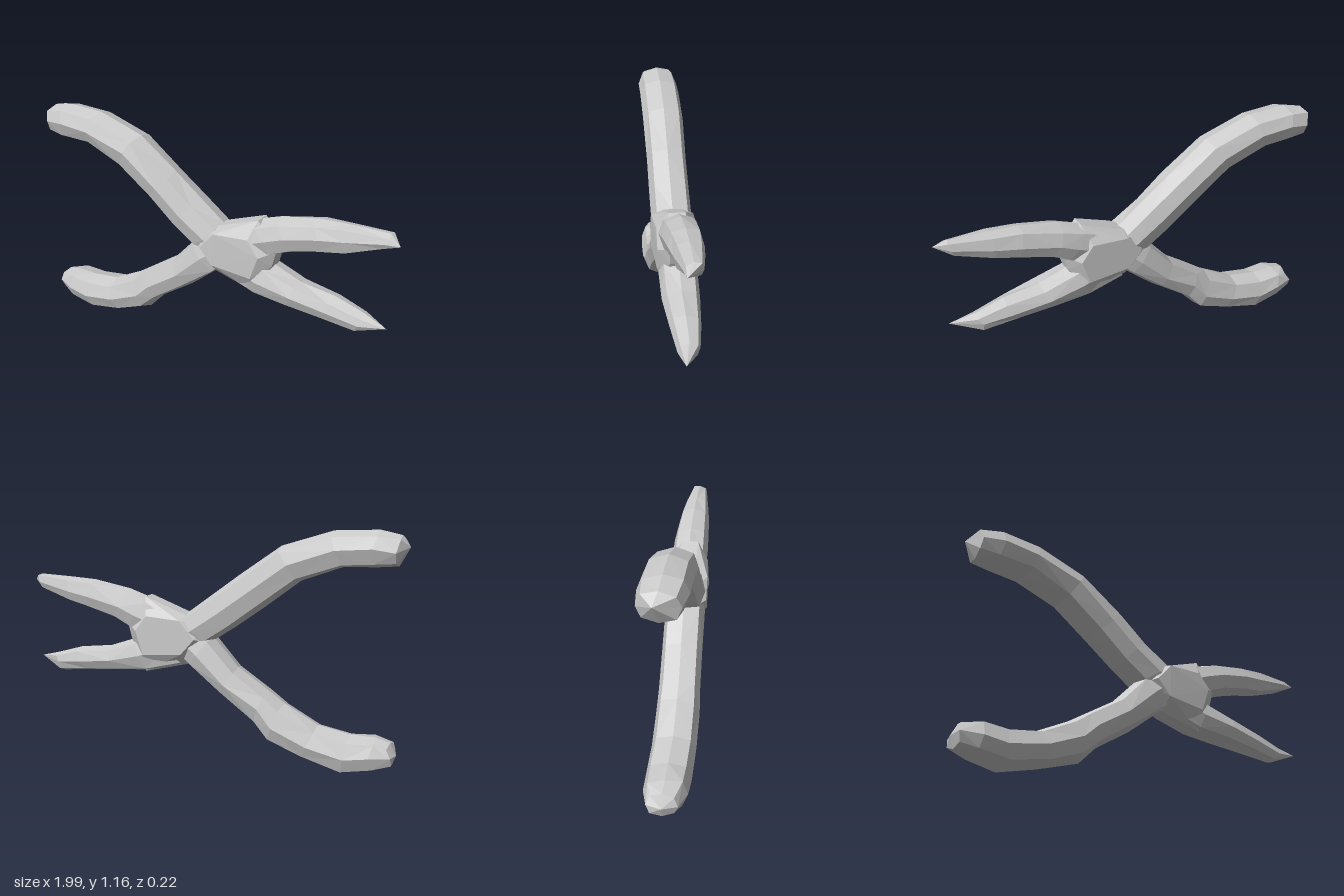
import * as THREE from 'three';
import { ConvexGeometry } from 'three/addons/geometries/ConvexGeometry.js';

const SIDES = 8;
const material = new THREE.MeshStandardMaterial({ color: 0xcccccc, flatShading: true });

// Small seeded generator for the hand-cut, uneven facets
let seed = 7;
const jitter = (amount) => {
  seed = (seed * 16807) % 2147483647;
  return (seed / 2147483647 - 0.5) * 2 * amount;
};

// Loft from left to right. Each section: [topX, topY, bottomX, bottomY, halfDepth, centreZ]
function loft(name, sections, startTip, endTip) {
  const positions = [];
  const index = [];
  for (const [tx, ty, bx, by, depth, cz] of sections) {
    for (let j = 0; j < SIDES; j++) {
      const a = (j / SIDES) * Math.PI * 2;
      const square = (v) => Math.sign(v) * Math.pow(Math.abs(v), 0.78);
      const u = square(Math.cos(a));
      const w = square(Math.sin(a));
      const wobble = j % 4 === 0 ? 0 : 0.012;
      positions.push(
        (tx + bx) / 2 + ((tx - bx) / 2) * u + jitter(wobble),
        (ty + by) / 2 + ((ty - by) / 2) * u + jitter(wobble * 0.6),
        cz + depth * w
      );
    }
  }
  const rings = sections.length;
  for (let k = 0; k < rings - 1; k++) {
    for (let j = 0; j < SIDES; j++) {
      const a = k * SIDES + j;
      const b = k * SIDES + ((j + 1) % SIDES);
      const c = a + SIDES;
      const d = b + SIDES;
      // alternate the diagonals for irregular facets
      if ((j + k) % 2) index.push(a, b, c, b, d, c);
      else index.push(a, b, d, a, d, c);
    }
  }
  // Caps
  const start = rings * SIDES;
  positions.push(...startTip, ...endTip);
  const last = (rings - 1) * SIDES;
  for (let j = 0; j < SIDES; j++) {
    const n = (j + 1) % SIDES;
    index.push(start, n, j, start + 1, last + j, last + n);
  }
  const geometry = new THREE.BufferGeometry();
  geometry.setAttribute('position', new THREE.Float32BufferAttribute(positions, 3));
  geometry.setIndex(index);
  const flat = geometry.toNonIndexed();
  flat.computeVertexNormals();
  const mesh = new THREE.Mesh(flat, material);
  mesh.name = name;
  return mesh;
}

// Pivot block: full outline at mid depth, inset faces front and back
function pivotBlock() {
  const outline = [[0.08, 0.71], [0.3, 0.79], [0.4, 0.65], [0.38, 0.57], [0.3, 0.4], [0.07, 0.46], [-0.05, 0.58], [0, 0.67]];
  const face = [[0.09, 0.69], [0.27, 0.7], [0.33, 0.62], [0.29, 0.5], [0.08, 0.52], [0.01, 0.6]];
  const points = [];
  for (const [x, y] of outline) {
    points.push(new THREE.Vector3(x, y, 0.035), new THREE.Vector3(x, y, -0.045));
  }
  for (const [x, y] of face) {
    points.push(new THREE.Vector3(x, y, x > 0.2 ? 0.088 : 0.1), new THREE.Vector3(x, y, -0.105));
  }
  const mesh = new THREE.Mesh(new ConvexGeometry(points), material);
  mesh.name = 'pivotBlock';
  return mesh;
}

export function createModel() {
  const group = new THREE.Group();
  group.name = 'pliers';

  // Upper handle, blunt slanted end
  group.add(loft('upperHandle', [
    [-0.96, 1.14, -0.95, 1.0, 0.09, -0.01],
    [-0.86, 1.16, -0.85, 0.99, 0.105, -0.005],
    [-0.65, 1.15, -0.7, 0.985, 0.105, -0.005],
    [-0.4, 1.07, -0.5, 0.91, 0.105, -0.005],
    [-0.19, 0.92, -0.32, 0.77, 0.1, -0.005],
    [-0.03, 0.8, -0.17, 0.66, 0.1, -0.005],
    [0.09, 0.71, -0.05, 0.58, 0.1, -0.005],
    [0.2, 0.62, 0.08, 0.5, 0.085, -0.005],
  ], [-1.0, 1.09, -0.03], [0.16, 0.55, 0]));

  // Lower handle, rounded end
  group.add(loft('lowerHandle', [
    [-0.95, 0.17, -0.96, 0.055, 0.07, -0.01],
    [-0.88, 0.185, -0.87, 0.03, 0.1, -0.005],
    [-0.76, 0.185, -0.74, 0.0, 0.105, -0.005],
    [-0.6, 0.21, -0.54, 0.05, 0.105, 0],
    [-0.43, 0.3, -0.37, 0.105, 0.105, 0],
    [-0.34, 0.36, -0.28, 0.2, 0.1, 0],
    [-0.19, 0.46, -0.1, 0.32, 0.1, -0.005],
    [-0.06, 0.6, 0.07, 0.46, 0.1, -0.005],
    [0.07, 0.69, 0.18, 0.56, 0.085, -0.005],
  ], [-0.98, 0.11, -0.01], [0.13, 0.64, 0]));

  // Upper jaw
  group.add(loft('upperJaw', [
    [0.12, 0.72, 0.22, 0.55, 0.085, -0.01],
    [0.28, 0.78, 0.38, 0.62, 0.092, -0.01],
    [0.4, 0.82, 0.48, 0.66, 0.09, -0.012],
    [0.6, 0.855, 0.62, 0.705, 0.08, -0.012],
    [0.74, 0.862, 0.74, 0.73, 0.067, -0.012],
    [0.93, 0.867, 0.9, 0.79, 0.042, -0.008],
  ], [0.2, 0.62, 0], [0.99, 0.83, 0.025]));

  // Lower jaw
  group.add(loft('lowerJaw', [
    [0.2, 0.64, 0.1, 0.45, 0.085, -0.01],
    [0.35, 0.57, 0.29, 0.4, 0.092, -0.01],
    [0.52, 0.51, 0.46, 0.385, 0.088, -0.005],
    [0.7, 0.487, 0.65, 0.365, 0.07, -0.005],
    [0.84, 0.445, 0.81, 0.348, 0.05, -0.005],
  ], [0.15, 0.55, 0], [0.965, 0.41, 0.02]));

  group.add(pivotBlock());
  return group;
}
